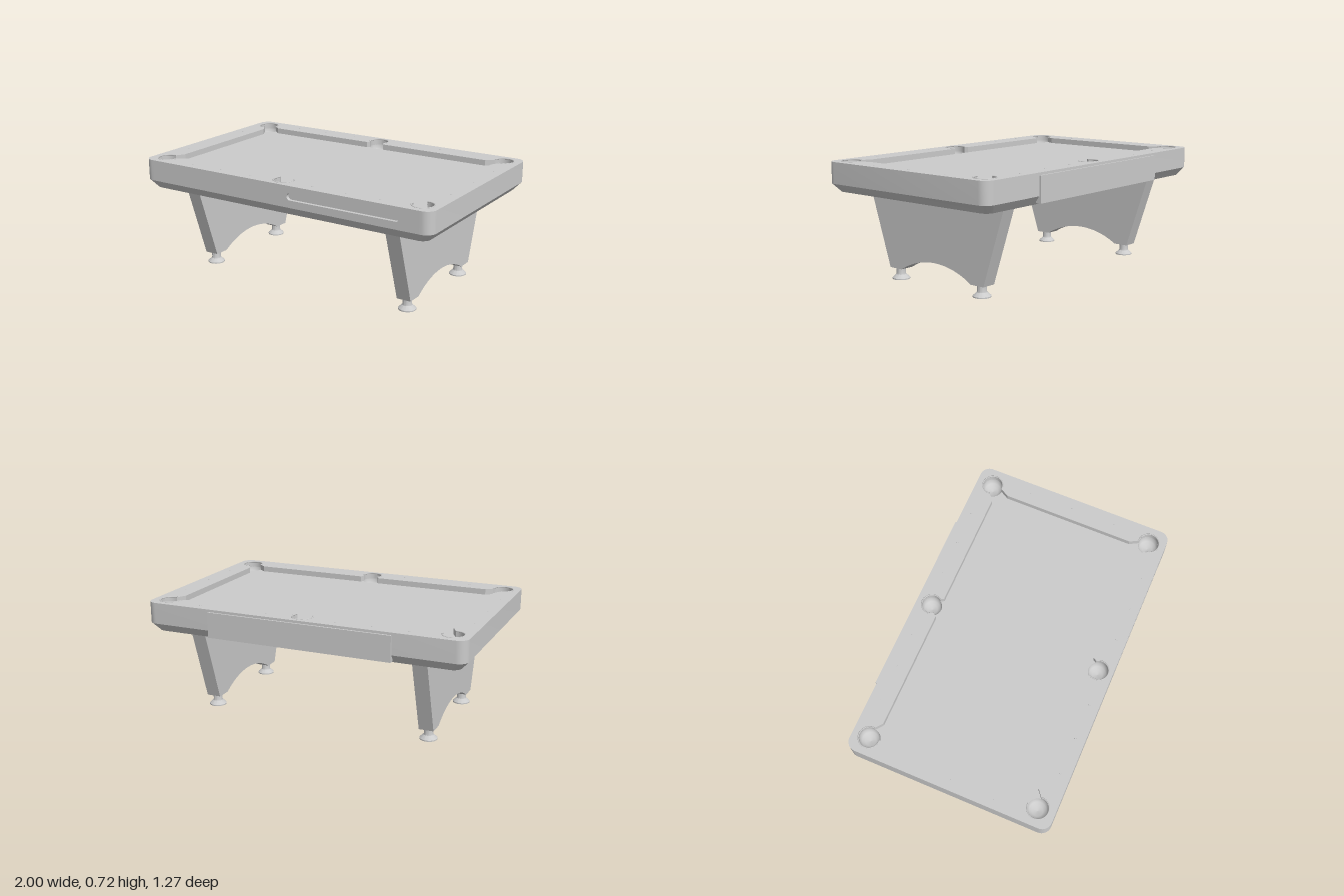
import * as THREE from 'three';
import { toCreasedNormals } from 'three/addons/utils/BufferGeometryUtils.js';

const TOP = 0.715, BELT = 0.585, BASE = 0.535, BED = 0.68;
const HX = 1, HZ = 0.628, POCKET_R = 0.062;

const grey = new THREE.MeshStandardMaterial({ color: 0xcccccc });
const thin = new THREE.MeshStandardMaterial({ color: 0xcccccc, side: THREE.DoubleSide });

function add(parent, name, geometry, material = grey) {
  const mesh = new THREE.Mesh(geometry, material);
  mesh.name = name;
  parent.add(mesh);
  return mesh;
}

// Points on an arc, angles in degrees
function arc(cx, cy, r, a0, a1, n) {
  return Array.from({ length: n + 1 }, (_, i) => {
    const a = THREE.MathUtils.degToRad(a0 + ((a1 - a0) * i) / n);
    return new THREE.Vector2(cx + r * Math.cos(a), cy + r * Math.sin(a));
  });
}

// Rounded rectangle outline, corner by corner
function roundedRect(hx, hy, r, n = 8) {
  return [[1, 1], [-1, 1], [-1, -1], [1, -1]].flatMap(([sx, sy], i) =>
    arc(sx * (hx - r), sy * (hy - r), r, i * 90, i * 90 + 90, n));
}

// Extrude a plan outline (x, z) downward from height y
function slab(shape, y, depth) {
  const g = new THREE.ExtrudeGeometry(shape, { depth, bevelEnabled: false, curveSegments: 32 });
  g.rotateX(Math.PI / 2).translate(0, y, 0);
  return toCreasedNormals(g, 0.5);
}

// Inner rail outline: one quarter with half a side pocket and a corner pocket, mirrored
function railOpening() {
  const quarter = [
    ...arc(0, 0.54, 0.06, 85, -35, 12),
    new THREE.Vector2(0.062, 0.485), new THREE.Vector2(0.79, 0.485),
    ...arc(0.895, 0.525, POCKET_R, 185, -95, 24),
    new THREE.Vector2(0.86, 0.41),
  ];
  const flip = (sx, sy) => quarter.map((p) => new THREE.Vector2(p.x * sx, p.y * sy));
  return [...flip(1, 1), ...flip(1, -1).reverse(), ...flip(-1, -1), ...flip(-1, 1).reverse()];
}

// Sloping band between the wide belt and the narrower underside
function skirtGeometry() {
  const a = roundedRect(HX, HZ, 0.06), b = roundedRect(HX - 0.045, HZ - 0.036, 0.05);
  const pos = [], index = [], n = a.length;
  a.forEach((p, i) => pos.push(p.x, BELT, p.y, b[i].x, BASE, b[i].y));
  for (let i = 0; i < n; i++) {
    const t0 = 2 * i, t1 = 2 * ((i + 1) % n);
    index.push(t0, t1, t0 + 1, t0 + 1, t1, t1 + 1);
  }
  const g = new THREE.BufferGeometry();
  g.setAttribute('position', new THREE.Float32BufferAttribute(pos, 3));
  g.setIndex(index);
  return toCreasedNormals(g, 0.5);
}

export function createModel() {
  const table = new THREE.Group();
  table.name = 'poolTable';
  const body = new THREE.Group();
  body.name = 'body';
  body.position.z = 0.004;
  table.add(body);

  // Rail frame, set back along the front to take the slotted panel
  const outline = roundedRect(HX, HZ, 0.06);
  const notch = [[0.93, HZ], [0.93, 0.608], [-0.93, 0.608], [-0.93, HZ]];
  outline.splice(9, 0, ...notch.map(([x, z]) => new THREE.Vector2(x, z)));
  const frame = new THREE.Shape(outline);
  frame.holes.push(new THREE.Path(railOpening()));
  add(body, 'railFrame', slab(frame, TOP, TOP - BELT));

  // Front panel with the long ball window
  const panel = new THREE.Shape([[-0.93, BELT], [0.93, BELT], [0.93, TOP], [-0.93, TOP]]
    .map(([x, y]) => new THREE.Vector2(x, y)));
  panel.holes.push(new THREE.Path([
    ...arc(0.789, 0.651, 0.021, -90, 90, 12), ...arc(0.101, 0.651, 0.021, 90, 270, 12)]));
  add(body, 'frontPanel', toCreasedNormals(
    new THREE.ExtrudeGeometry(panel, { depth: 0.02, bevelEnabled: false }), 0.5))
    .position.z = 0.608;

  // Skirt and underside
  add(body, 'skirt', skirtGeometry());
  const under = new THREE.ShapeGeometry(new THREE.Shape(roundedRect(HX - 0.045, HZ - 0.036, 0.05)));
  add(body, 'underside', under.rotateX(Math.PI / 2).translate(0, BASE, 0));

  // Pocket positions with the direction of the mouth
  const pockets = [];
  for (const sz of [-1, 1]) {
    pockets.push({ x: 0, z: sz * 0.54, r: 0.06, mouth: -sz * 90, gap: 55 });
    for (const sx of [-1, 1]) {
      const mouth = THREE.MathUtils.radToDeg(Math.atan2(-sz, -sx));
      pockets.push({ x: sx * 0.895, z: sz * 0.525, r: POCKET_R, mouth, gap: 40 });
    }
  }

  // Playing bed pierced by the pockets
  const bed = new THREE.Shape(roundedRect(0.97, 0.604, 0.04));
  for (const p of pockets) bed.holes.push(new THREE.Path(arc(p.x, p.z, p.r, 0, 350, 35)));
  add(body, 'playingBed', slab(bed, BED, 0.02));

  // Pocket cups and thin raised rims
  for (const p of pockets) {
    const profile = [[0, 0.63], [0.5, 0.635], [0.8, 0.647], [0.95, 0.662], [1, BED]]
      .map(([r, y]) => new THREE.Vector2(r * p.r, y));
    add(body, 'pocketCup', new THREE.LatheGeometry(profile, 36), thin).position.set(p.x, 0, p.z);
    const path = arc(p.x, p.z, p.r + 0.001, p.mouth + p.gap, p.mouth + 360 - p.gap, 20)
      .map((q) => new THREE.Vector3(q.x, TOP, q.y));
    add(body, 'pocketRim',
      new THREE.TubeGeometry(new THREE.CatmullRomCurve3(path), 40, 0.004, 6), thin);
  }

  // Sight markers along the rails
  const marker = new THREE.CylinderGeometry(0.006, 0.007, 0.004, 12);
  for (const s of [-1, 1]) {
    for (const x of [-0.66, -0.44, -0.22, 0.22, 0.44, 0.66])
      add(body, 'sightMarker', marker).position.set(x, TOP, s * 0.568);
    for (const z of [-0.28, 0, 0.28])
      add(body, 'sightMarker', marker).position.set(s * 0.94, TOP, z);
  }

  // Cover board on the back
  add(table, 'backBoard', new THREE.BoxGeometry(1.15, 0.155, 0.034))
    .position.set(-0.003, 0.6225, -0.618);

  // Tapered end legs with an arched foot line
  const leg = new THREE.Shape();
  leg.moveTo(-0.53, 0.54);
  leg.lineTo(-0.375, 0.07);
  leg.lineTo(-0.28, 0.07);
  leg.absarc(0, -0.38, 0.53, Math.PI - 1.014, 1.014, true);
  leg.lineTo(0.375, 0.07);
  leg.lineTo(0.53, 0.54);
  const legGeometry = toCreasedNormals(new THREE.ExtrudeGeometry(leg,
    { depth: 0.09, bevelEnabled: false, curveSegments: 32 })
    .rotateY(-Math.PI / 2).translate(0.045, 0, 0), 0.5);

  // Levelling feet
  const footProfile = [[0, 0], [0.053, 0], [0.053, 0.007], [0.03, 0.028], [0.028, 0.034], [0.028, 0.075]]
    .map(([r, y]) => new THREE.Vector2(r, y));
  const footGeometry = toCreasedNormals(new THREE.LatheGeometry(footProfile, 32), 0.5);

  for (const s of [-1, 1]) {
    const end = new THREE.Group();
    end.name = s > 0 ? 'leftLeg' : 'rightLeg';
    end.position.x = s * 0.708;
    table.add(end);
    add(end, 'legPanel', legGeometry);
    for (const z of [-0.325, 0.33]) add(end, 'levellingFoot', footGeometry).position.z = z;
  }
  return table;
}
